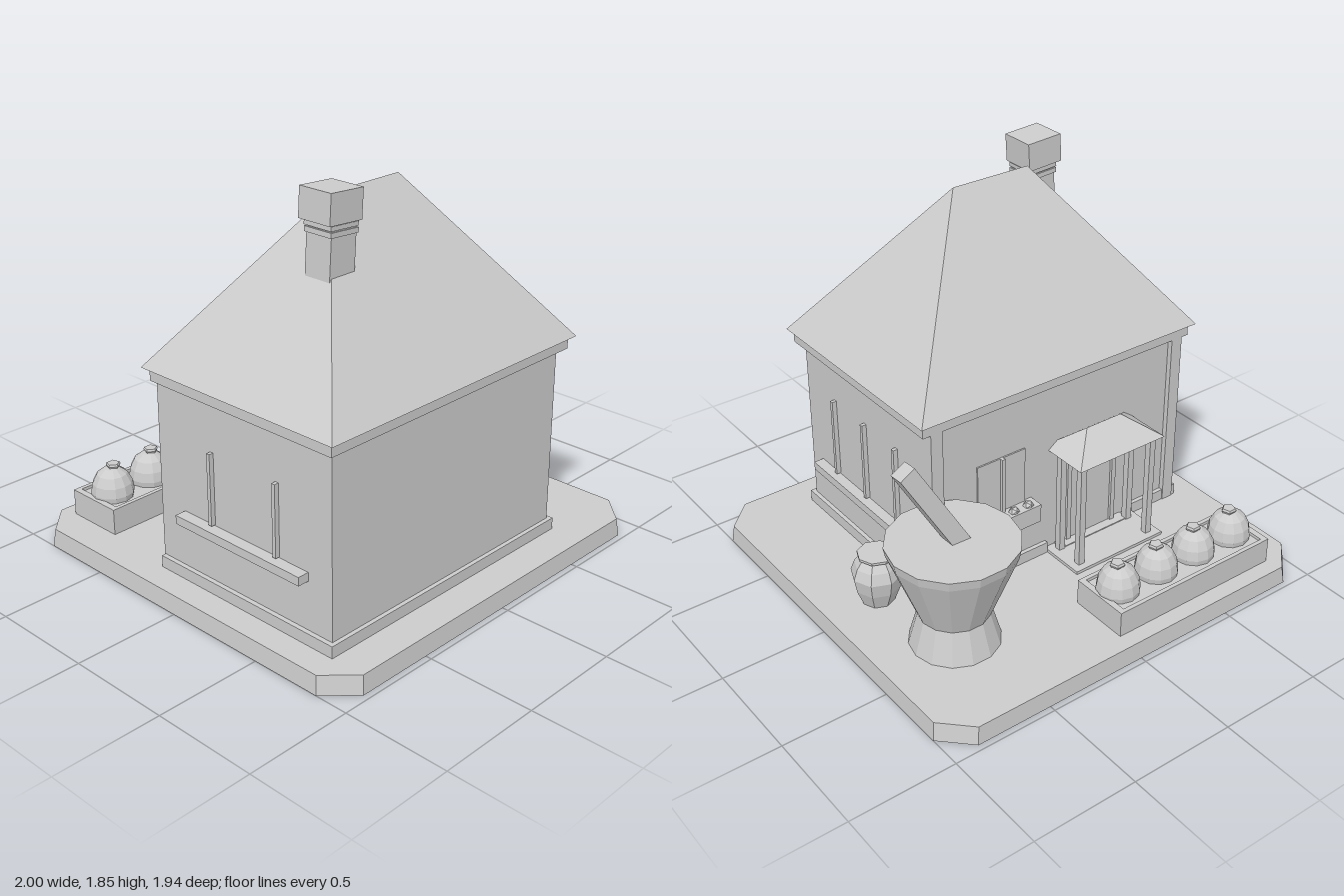
import * as THREE from 'three';
import { ConvexGeometry } from 'three/addons/geometries/ConvexGeometry.js';

// Double-sided because the base is an open shell
const stone = new THREE.MeshStandardMaterial({ color: 0xcccccc, side: THREE.DoubleSide });
stone.name = 'plain grey';

function add(parent, name, geometry) {
  const mesh = new THREE.Mesh(geometry, stone);
  mesh.name = name;
  parent.add(mesh);
  return mesh;
}

// Box given by its limits on each axis
function block(parent, name, x0, x1, y0, y1, z0, z1) {
  const mesh = add(parent, name, new THREE.BoxGeometry(x1 - x0, y1 - y0, z1 - z0));
  mesh.position.set((x0 + x1) / 2, (y0 + y1) / 2, (z0 + z1) / 2);
  return mesh;
}

// Faceted turned shape from [radius, height] pairs
function turned(parent, name, profile, sides, x, z) {
  const points = profile.map(([r, y]) => new THREE.Vector2(r, y));
  const geometry = new THREE.LatheGeometry(points, sides).toNonIndexed();
  geometry.computeVertexNormals();
  const mesh = add(parent, name, geometry);
  mesh.position.set(x, 0, z);
  return mesh;
}

// Hip roof: rectangular eaves with a ridge along x
function hipRoof(parent, name, x0, x1, z0, z1, y0, ridgeX0, ridgeX1, ridgeZ, ridgeY) {
  const points = [[x0, y0, z0], [x1, y0, z0], [x1, y0, z1], [x0, y0, z1],
    [ridgeX0, ridgeY, ridgeZ], [ridgeX1, ridgeY, ridgeZ]];
  return add(parent, name, new ConvexGeometry(points.map((p) => new THREE.Vector3(...p))));
}

// Cut-corner slab, open underneath
function openSlab(parent, name, w, d, cut, height, inset) {
  const loop = (y, a, b) => [[a, b - cut], [a - cut, b], [cut - a, b], [-a, b - cut],
    [-a, cut - b], [cut - a, -b], [a - cut, -b], [a, cut - b]].map(([x, z]) => [x, y, z]);
  const low = loop(0, w, d);
  const high = loop(height, w - inset, d - inset);
  const positions = [];
  for (let i = 0; i < 8; i++) {
    const j = (i + 1) % 8;
    positions.push(...low[j], ...low[i], ...high[i], ...low[j], ...high[i], ...high[j]);
    positions.push(0, height, 0, ...high[j], ...high[i]);
  }
  const geometry = new THREE.BufferGeometry();
  geometry.setAttribute('position', new THREE.Float32BufferAttribute(positions, 3));
  // Corners run clockwise from above, so turn every face outwards
  const p = geometry.attributes.position;
  const a = new THREE.Vector3();
  const b = new THREE.Vector3();
  for (let i = 0; i < p.count; i += 3) {
    a.fromBufferAttribute(p, i + 1);
    b.fromBufferAttribute(p, i + 2);
    p.setXYZ(i + 1, b.x, b.y, b.z);
    p.setXYZ(i + 2, a.x, a.y, a.z);
  }
  geometry.computeVertexNormals();
  return add(parent, name, geometry);
}

function group(parent, name) {
  const g = new THREE.Group();
  g.name = name;
  parent.add(g);
  return g;
}

export function createModel() {
  const model = new THREE.Group();
  model.name = 'cottage';
  const ground = 0.086;
  const sunk = 0.055;

  openSlab(model, 'base', 1, 0.972, 0.13, 0.085, 0.01);

  // House
  const house = group(model, 'house');
  block(house, 'walls', -0.845, 0.56, ground, 1, -0.205, 0.78);
  block(house, 'plinthFront', -0.867, 0.58, sunk, 0.14, 0.77, 0.8);
  block(house, 'plinthLeft', 0.55, 0.58, sunk, 0.14, -0.225, 0.77);
  block(house, 'plinthRight', -0.867, -0.837, sunk, 0.14, -0.225, 0.77);
  block(house, 'plinthBackLeft', -0.075, 0.55, sunk, 0.14, -0.225, -0.195);
  block(house, 'plinthBackRight', -0.837, -0.59, sunk, 0.14, -0.225, -0.195);
  block(house, 'fascia', -0.88, 0.6, 0.97, 1.03, -0.23, 0.81);
  block(house, 'cornerPostRight', -0.845, -0.785, ground, 0.97, -0.23, -0.2);
  block(house, 'cornerPostLeft', 0.5, 0.56, ground, 0.97, -0.23, -0.2);
  hipRoof(house, 'roof', -0.905, 0.62, -0.255, 0.838, 1.03, -0.34, 0.06, 0.29, 1.77);

  // Leaning chimney
  const chimney = group(house, 'chimney');
  chimney.position.set(-0.483, 1.5, 0.42);
  chimney.rotation.z = -0.06;
  block(chimney, 'chimneyShaft', -0.07, 0.07, -0.12, 0.23, -0.067, 0.067);
  block(chimney, 'chimneyBandLower', -0.078, 0.076, 0.165, 0.187, -0.073, 0.073);
  block(chimney, 'chimneyBandUpper', -0.08, 0.074, 0.193, 0.212, -0.073, 0.073);
  block(chimney, 'chimneyCap', -0.1, 0.08, 0.218, 0.348, -0.085, 0.085);

  // Side ledges and upright battens
  block(house, 'ledgeLeft', 0.55, 0.61, 0.335, 0.375, -0.1, 0.69);
  for (const z of [0.04, 0.29, 0.54]) {
    block(house, 'battenLeft', 0.56, 0.582, 0.38, 0.77, z - 0.009, z + 0.009);
  }
  block(house, 'ledgeRight', -0.9, -0.84, 0.365, 0.405, -0.08, 0.65);
  for (const z of [0.1, 0.48]) {
    block(house, 'battenRight', -0.867, -0.845, 0.41, 0.74, z - 0.009, z + 0.009);
  }

  // Window with a planted box
  const opening = group(house, 'window');
  block(opening, 'windowPane', 0.05, 0.31, 0.42, 0.7, -0.212, -0.2);
  block(opening, 'mullion', 0.172, 0.188, 0.42, 0.7, -0.228, -0.2);
  block(opening, 'windowBox', 0.01, 0.35, 0.33, 0.42, -0.28, -0.2);
  for (let i = 0; i < 4; i++) {
    const plant = add(opening, 'plant', new THREE.IcosahedronGeometry(0.026, 0));
    plant.position.set(0.06 + i * 0.08, 0.42, -0.25);
  }

  // Door under a small porch
  const porch = group(model, 'porch');
  block(porch, 'step', -0.59, -0.075, sunk, 0.1, -0.44, -0.195);
  block(porch, 'threshold', -0.53, -0.13, sunk - 0.015, 0.105, -0.26, -0.2);
  block(porch, 'door', -0.45, -0.215, 0.1, 0.58, -0.215, -0.2);
  for (const x of [-0.465, -0.2]) block(porch, 'doorJamb', x - 0.012, x + 0.012, 0.1, 0.6, -0.225, -0.2);
  for (const x of [-0.535, -0.13]) {
    for (const z of [-0.39, -0.25]) {
      block(porch, 'porchPost', x - 0.016, x + 0.016, 0.09, 0.64, z - 0.016, z + 0.016);
    }
  }
  hipRoof(porch, 'porchRoof', -0.58, -0.087, -0.432, -0.16, 0.632, -0.43, -0.235, -0.292, 0.74);

  // Large mortar and pestle
  const mortar = group(model, 'mortarAndPestle');
  const bowl = turned(mortar, 'mortar', [[0, ground], [0.203, ground], [0.16, 0.24], [0.283, 0.555],
    [0.292, 0.6], [0, 0.6]], 14, 0.617, -0.457);
  bowl.rotation.y = Math.PI / 14;
  const low = new THREE.Vector3(0.55, 0.52, -0.459);
  const high = new THREE.Vector3(0.815, 0.99, -0.405);
  const pestle = add(mortar, 'pestle', new THREE.BoxGeometry(0.08, low.distanceTo(high), 0.075));
  pestle.position.copy(low).add(high).multiplyScalar(0.5);
  pestle.quaternion.setFromUnitVectors(new THREE.Vector3(0, 1, 0), high.clone().sub(low).normalize());

  // Jar
  turned(model, 'jar', [[0, ground], [0.075, ground], [0.105, 0.165], [0.118, 0.235],
    [0.1, 0.285], [0.074, 0.318], [0.086, 0.326], [0.086, 0.338], [0, 0.338]], 8, 0.735, -0.035);

  // Tray with a row of four domed pots
  const tray = group(model, 'tray');
  block(tray, 'trayFloor', -0.82, 0.035, ground, 0.195, -0.87, -0.61);
  block(tray, 'trayRimBack', -0.835, 0.05, ground, 0.21, -0.885, -0.865);
  block(tray, 'trayRimFront', -0.835, 0.05, ground, 0.21, -0.615, -0.595);
  block(tray, 'trayRimRight', -0.835, -0.805, ground, 0.21, -0.865, -0.615);
  block(tray, 'trayRimLeft', 0.02, 0.05, ground, 0.21, -0.865, -0.615);
  for (let i = 0; i < 4; i++) {
    const x = -0.722 + i * 0.222;
    turned(tray, 'pot', [[0, 0.19], [0.095, 0.19], [0.1, 0.22], [0.092, 0.265],
      [0.07, 0.308], [0.035, 0.335], [0, 0.34]], 12, x, -0.74);
    turned(tray, 'potKnob', [[0, 0.325], [0.025, 0.325], [0.035, 0.345], [0.03, 0.355], [0, 0.355]],
      5, x + 0.01, -0.74);
  }
  return model;
}
